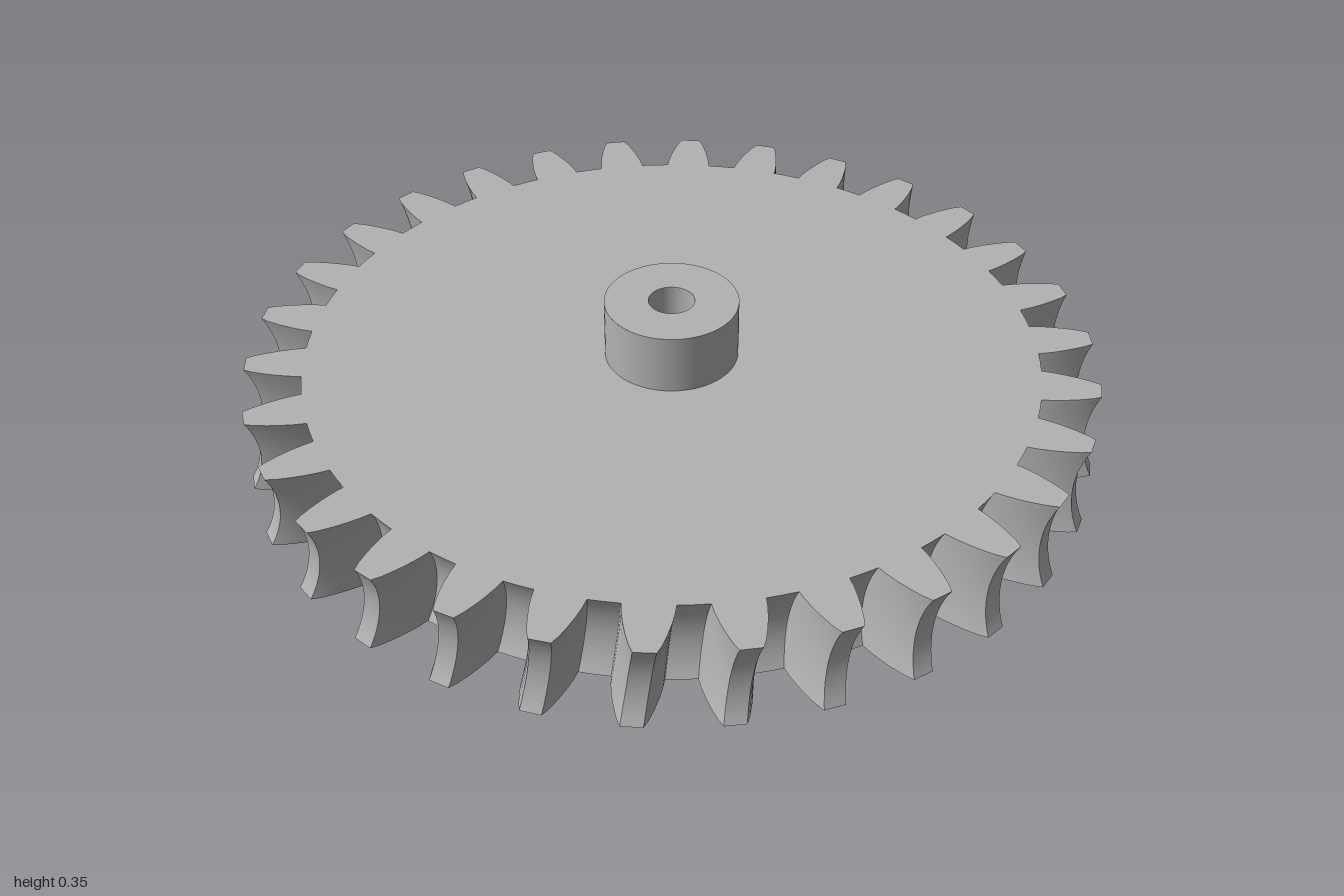
import * as THREE from 'three';
import { toCreasedNormals } from 'three/addons/utils/BufferGeometryUtils.js';

const TEETH = 30, PITCH = (Math.PI * 2) / TEETH;
const H = 0.21, TOP = 0.355;           // wheel thickness, hub top
const HUB_R = 0.157, BORE_R = 0.054;
const SCREW_R = 0.024, SCREW_Y = (H + TOP) / 2;
const THROAT_R = 0.22, TWIST = 0.028;  // hollow of the rim, slant of the teeth

const steel = new THREE.MeshStandardMaterial({ color: 0xb2b2b2, side: THREE.DoubleSide });
steel.name = 'grey steel';

// Half a tooth: radius and half width, root to tip
const FLANK = [[0.865, 0.056], [0.89, 0.054], [0.92, 0.049], [0.95, 0.042], [0.98, 0.033], [1, 0.024]];

// Outline of the toothed wheel at height y, as [x, z] points
function outline(y) {
  const dy = y - H / 2;
  const sag = Math.sqrt(THROAT_R ** 2 - dy ** 2) - Math.sqrt(THROAT_R ** 2 - (H / 2) ** 2);
  const turn = -TWIST * dy / H;
  const tooth = [
    ...FLANK.map(([r, w]) => [r, -w / r]),
    ...FLANK.slice().reverse().map(([r, w]) => [r, w / r]),
    [FLANK[0][0], PITCH / 2],
  ];
  const pts = [];
  for (let t = 0; t < TEETH; t++) {
    for (const [r, a] of tooth) {
      const ang = a + t * PITCH + turn;
      pts.push([(r - sag) * Math.cos(ang), (r - sag) * Math.sin(ang)]);
    }
  }
  return pts;
}

// Surface through a grid of points, closed along each row
function loft(rows) {
  const n = rows[0].length, index = [];
  for (let j = 0; j < rows.length - 1; j++) {
    for (let i = 0; i < n; i++) {
      const a = j * n + i, b = j * n + (i + 1) % n;
      index.push(a, a + n, b, b, a + n, b + n);
    }
  }
  const g = new THREE.BufferGeometry();
  g.setAttribute('position', new THREE.Float32BufferAttribute(rows.flat(2), 3));
  g.setIndex(index);
  g.computeVertexNormals();
  return g;
}

// Flat face of the wheel with a round opening
function wheelFace(y, holeR, up) {
  const s = up ? -1 : 1;
  const shape = new THREE.Shape(outline(y).map(([x, z]) => new THREE.Vector2(x, s * z)));
  shape.holes.push(new THREE.Path().absarc(0, 0, holeR, 0, Math.PI * 2, true));
  return new THREE.ShapeGeometry(shape, 32).rotateX(s * Math.PI / 2).translate(0, y, 0);
}

// Patch of a cylinder wall around the set screw hole, facing +x
function screwPatch(R, halfW) {
  const halfH = (TOP - H) / 2, rows = [];
  for (let j = 0; j <= 6; j++) {
    const row = [];
    for (let i = 0; i < 48; i++) {
      const a = (i / 48) * Math.PI * 2, c = Math.cos(a), s = Math.sin(a);
      const m = Math.max(Math.abs(c), Math.abs(s));
      const z = THREE.MathUtils.lerp(SCREW_R * c, halfW * c / m, j / 6);
      const y = THREE.MathUtils.lerp(SCREW_R * s, halfH * s / m, j / 6);
      row.push([Math.sqrt(R * R - z * z), SCREW_Y + y, z]);
    }
    rows.push(row);
  }
  return loft(rows);
}

// Rest of that wall
function openWall(R, halfW) {
  const gap = Math.asin(halfW / R);
  return new THREE.CylinderGeometry(R, R, TOP - H, 64, 1, true, Math.PI / 2 + gap, Math.PI * 2 - 2 * gap)
    .translate(0, SCREW_Y, 0);
}

export function createModel() {
  const model = new THREE.Group();
  model.name = 'wormWheel';
  const add = (name, geometry) => {
    const mesh = new THREE.Mesh(geometry, steel);
    mesh.name = name;
    model.add(mesh);
  };

  // Toothed rim, hollowed in the middle
  const rows = [];
  for (let j = 0; j <= 14; j++) {
    const y = (H * j) / 14;
    rows.push(outline(y).map(([x, z]) => [x, y, z]));
  }
  add('toothedRim', toCreasedNormals(loft(rows), 0.5));
  add('topFace', wheelFace(H, HUB_R, true));
  add('bottomFace', wheelFace(0, BORE_R, false));

  // Hub
  add('hubWall', openWall(HUB_R, 0.08));
  add('hubWallAroundScrew', screwPatch(HUB_R, 0.08));
  add('hubTop', new THREE.RingGeometry(BORE_R, HUB_R, 64).rotateX(-Math.PI / 2).translate(0, TOP, 0));

  // Shaft bore
  add('lowerBore', new THREE.CylinderGeometry(BORE_R, BORE_R, H, 64, 1, true).translate(0, H / 2, 0));
  add('upperBore', openWall(BORE_R, 0.04));
  add('boreAroundScrew', screwPatch(BORE_R, 0.04));

  // Set screw hole from hub wall to bore
  const x0 = 0.049, x1 = 0.156;
  add('setScrewHole', new THREE.CylinderGeometry(SCREW_R, SCREW_R, x1 - x0, 48, 1, true)
    .rotateZ(Math.PI / 2).translate((x0 + x1) / 2, SCREW_Y, 0));

  return model;
}
